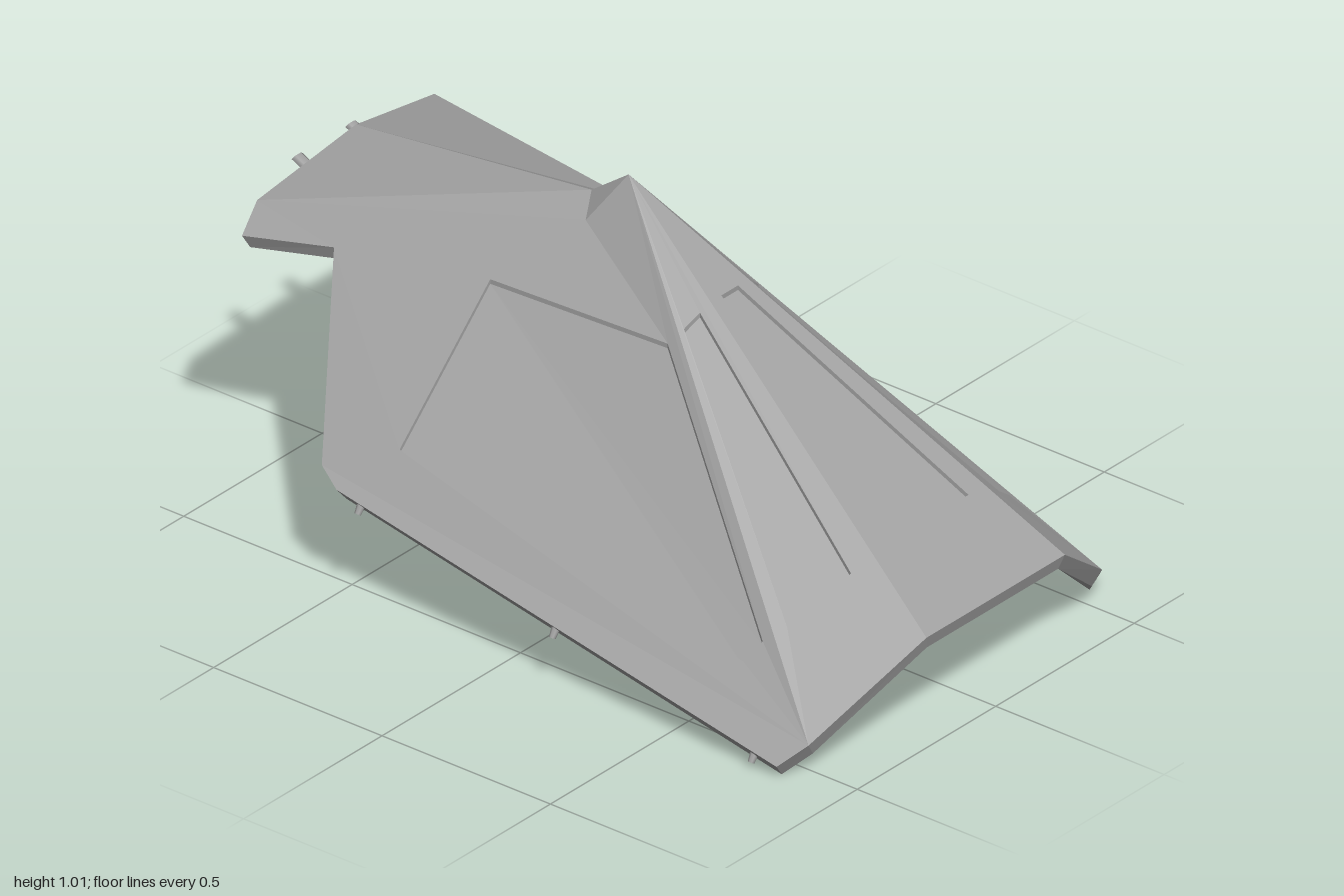
import * as THREE from 'three';

const V = (x, y, z) => new THREE.Vector3(x, y, z);
const mirror = p => V(p.x, p.y, -p.z);
const inner = p => V(p.x * 0.99, p.y - 0.035, p.z * 0.95); // underside of the shell
const DEPTH = 0.012;

// Collects flat triangles, each turned to face a wanted direction
class Faces {
  constructor() { this.pos = []; }
  tri(a, b, c, dir) {
    const n = b.clone().sub(a).cross(c.clone().sub(a));
    const order = n.dot(dir) < 0 ? [a, c, b] : [a, b, c];
    order.forEach(p => this.pos.push(p.x, p.y, p.z));
  }
  polygon(contour, holes, dir) {
    const flat = l => l.map(p => new THREE.Vector2(p.x, p.z));
    const all = [contour, ...holes].flat();
    THREE.ShapeUtils.triangulateShape(flat(contour), holes.map(flat))
      .forEach(([a, b, c]) => this.tri(all[a], all[b], all[c], dir));
  }
  // Band between two matching loops, facing out from (1) or in to (-1) the centre
  wall(l1, l2, facing) {
    const mid = V(0, 0, 0);
    l1.forEach(p => mid.addScaledVector(p, 1 / l1.length));
    l1.forEach((a, i) => {
      const j = (i + 1) % l1.length;
      const dir = a.clone().add(l1[j]).multiplyScalar(0.5).sub(mid).multiplyScalar(facing).setY(0);
      this.tri(a, l1[j], l2[j], dir);
      this.tri(a, l2[j], l2[i], dir);
    });
  }
  mesh(name, material) {
    const g = new THREE.BufferGeometry();
    g.setAttribute('position', new THREE.Float32BufferAttribute(this.pos, 3));
    g.computeVertexNormals();
    const m = new THREE.Mesh(g, material);
    m.name = name;
    return m;
  }
}

export function createModel() {
  const group = new THREE.Group();
  const grey = new THREE.MeshStandardMaterial({ color: 0xa0a0a0 });
  grey.name = 'hull grey';

  // Corners of the left half
  const apex = V(-0.09, 1.01, 0), ridge = V(-0.2, 0.93, 0), tail = V(-0.9, 0.85, 0);
  const shoulder = V(-0.16, 0.895, 0.07), tailSide = V(-0.93, 0.78, 0.32);
  const nose = V(1, 0.29, 0.25), cheek = V(0.88, 0.085, 0.53);
  const rim = [nose, cheek, V(0.83, 0.035, 0.585), V(-0.46, 0.31, 0.605),
    V(-0.52, 0.345, 0.585), V(-0.71, 0.73, 0.31), V(-0.93, 0.71, 0.375), tailSide];

  // Recessed panels
  const sidePanel = [V(-0.32, 0.747, 0.22), V(0.16, 0.725, 0.163), V(0.67, 0.245, 0.44),
    V(0.645, 0.2, 0.48), V(-0.355, 0.41, 0.505)];
  const cheekPanel = [V(0.2, 0.791, 0.095), V(0.78, 0.383, 0.255), V(0.71, 0.278, 0.4), V(0.185, 0.76, 0.135)];
  const frontPanel = [V(0.21, 0.812, 0.03), V(0.8, 0.422, 0.145), V(0.8, 0.422, -0.145), V(0.21, 0.812, -0.03)];

  const facets = [{ contour: [apex, nose, mirror(nose)], panel: frontPanel }];
  const half = [
    { contour: [apex, nose, cheek], panel: cheekPanel },
    { contour: [apex, ...rim.slice(1), shoulder], panel: sidePanel },
    { contour: [apex, shoulder, ridge] },
    { contour: [ridge, shoulder, tailSide, tail] },
  ];
  half.forEach(f => facets.push(f,
    { contour: f.contour.map(mirror), panel: f.panel && f.panel.map(mirror) }));

  const shell = new Faces(), panels = new Faces();
  const layers = [{ map: p => p.clone(), up: 1 }, { map: inner, up: -1 }];
  for (const { map, up } of layers) {
    const dir = V(0, up, 0);
    for (const { contour, panel } of facets) {
      const hole = panel && panel.map(map);
      shell.polygon(contour.map(map), hole ? [hole] : [], dir);
      if (!hole) continue;
      const floor = hole.map(p => V(p.x, p.y - up * DEPTH, p.z));
      shell.wall(hole, floor, -1);
      panels.polygon(floor, [], dir);
    }
  }
  // Thick outer edge
  const loop = [...rim, tail, ...rim.map(mirror).reverse()];
  shell.wall(loop, loop.map(inner), 1);
  group.add(shell.mesh('shell', grey), panels.mesh('recessedPanels', grey));

  // Zigzag-edged plate along the nose
  const onFront = (x, z, lift) => V(x, 1.01 - (x + 0.09) * 0.6606 + lift, z);
  const zig = [[0.995, 0.245], [0.93, 0.23], [0.85, 0.115], [0.93, 0], [0.85, -0.115], [0.93, -0.23], [0.995, -0.245]];
  const trim = new Faces();
  const top = zig.map(([x, z]) => onFront(x, z, 0.003));
  trim.polygon(top, [], V(0, 1, 0));
  const trimMesh = trim.mesh('noseTrim', grey);
  group.add(trimMesh);

  const add = (name, geometry, x, y, z) => {
    const m = new THREE.Mesh(geometry, grey);
    m.name = name;
    m.position.set(x, y, z);
    group.add(m);
    return m;
  };

  // Small pegs along both lower edges
  const pegGeometry = new THREE.CylinderGeometry(0.012, 0.008, 0.035, 8);
  for (const s of [1, -1]) {
    for (const [x, y, z] of [[-0.4, 0.28, 0.592], [0.17, 0.155, 0.583], [0.75, 0.03, 0.57]]) {
      add('edgePeg', pegGeometry, x, y, s * z).rotation.x = -s * 0.6;
    }
    // Curved prong reaching out of the tail
    const path = new THREE.CatmullRomCurve3([V(-0.74, 0.75, 0), V(-0.86, 0.735, 0), V(-0.94, 0.75, 0), V(-0.995, 0.775, 0)]);
    const prong = new THREE.TubeGeometry(path, 12, 0.008, 6);
    prong.scale(1, 1, 2.4);
    add('tailProng', prong, 0, 0, s * 0.097);
  }
  // Mount under the tail holding the prongs
  add('tailMount', new THREE.CylinderGeometry(0.11, 0.08, 0.1, 16), -0.72, 0.755, 0);

  return group;
}
